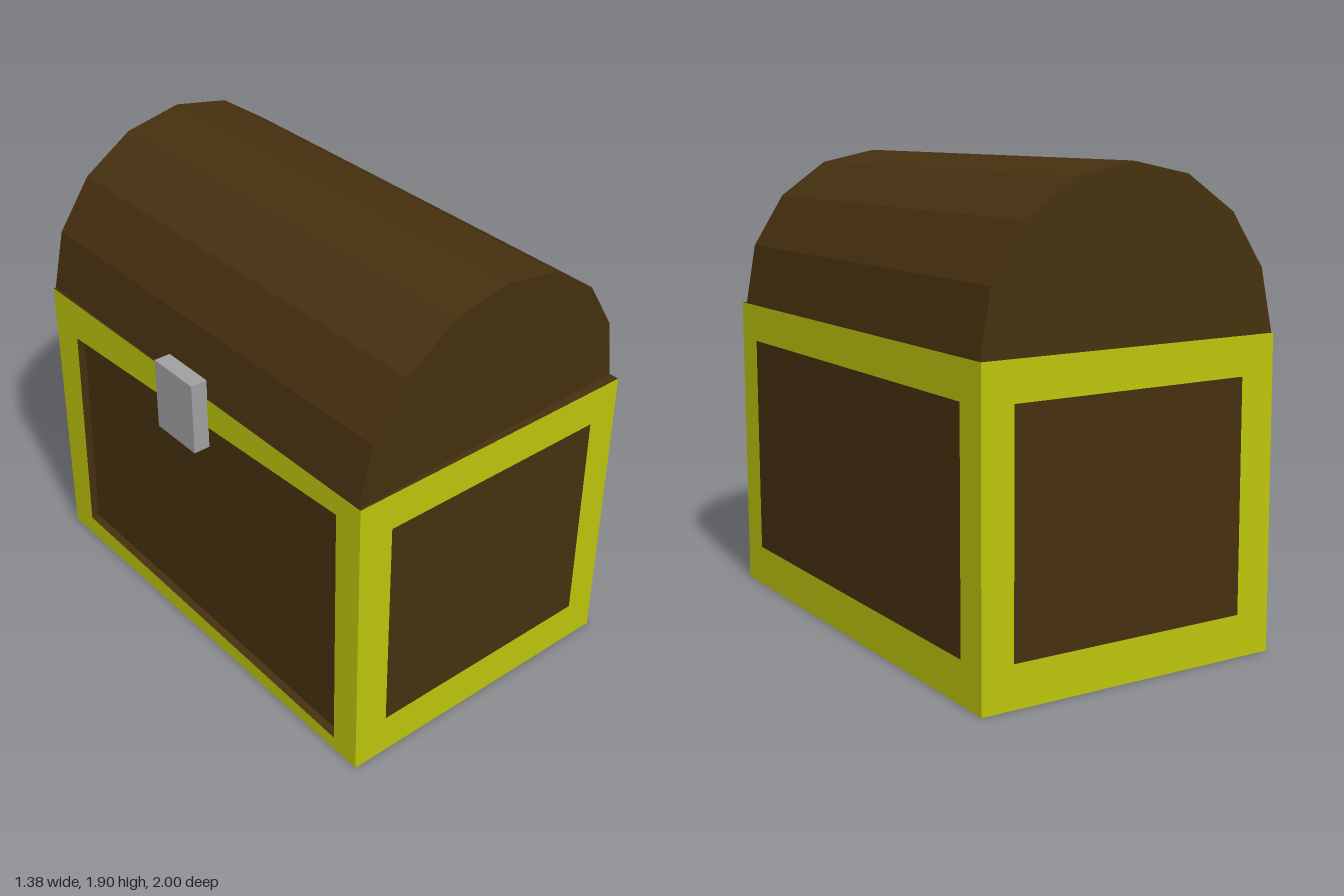
import * as THREE from 'three';

const V = (x, y, z) => new THREE.Vector3(x, y, z);
const brown = new THREE.MeshStandardMaterial({ color: 0x46300f, flatShading: true });
const yellow = new THREE.MeshStandardMaterial({ color: 0xbcc40c, flatShading: true });
const grey = new THREE.MeshStandardMaterial({ color: 0xa0a0a0, flatShading: true });

// Mesh made of four-cornered faces, corners counter-clockwise from outside
function quadMesh(name, quads, material) {
  const pts = quads.flatMap(([a, b, c, d]) => [a, b, c, a, c, d]);
  const geo = new THREE.BufferGeometry().setFromPoints(pts);
  geo.computeVertexNormals();
  const mesh = new THREE.Mesh(geo, material);
  mesh.name = name;
  return mesh;
}

// Point at (u, v) inside a four-cornered face
function inside([a, b, c, d], [u, v]) {
  return a.clone().lerp(b, u).lerp(d.clone().lerp(c, u), v);
}

// One side of the chest: yellow border around a brown panel, optionally recessed
function side(name, outer, uvs, depth = 0) {
  const group = new THREE.Group();
  group.name = name;
  const rim = uvs.map((uv) => inside(outer, uv));
  const ring = (p, q) => [0, 1, 2, 3].map((i) => [p[i], p[(i + 1) % 4], q[(i + 1) % 4], q[i]]);
  const normal = outer[1].clone().sub(outer[0]).cross(outer[3].clone().sub(outer[0])).normalize();
  const floor = rim.map((p) => p.clone().addScaledVector(normal, -depth));
  group.add(quadMesh(name + 'Border', ring(outer, rim), yellow));
  group.add(quadMesh(name + 'Panel', depth ? [floor, ...ring(rim, floor)] : [floor], brown));
  return group;
}

const rect = (u0, u1, v0, v1) => [[u0, v0], [u1, v0], [u1, v1], [u0, v1]];

export function createModel() {
  const model = new THREE.Group();
  model.name = 'chest';

  // Body corners, with one top corner leaning in slightly
  const H = 1.25;
  const bottom = [V(-0.62, 0, 1), V(0.685, 0, 1), V(0.685, 0, -1), V(-0.62, 0, -1)];
  const top = [V(-0.62, H, 1), V(0.685, H, 1), V(0.685, H, -1), V(-0.63, H, -0.975)];
  const panels = [
    ['frontSide', rect(0.115, 0.897, 0.136, 0.876), 0],
    ['plainLongSide', rect(0.07, 0.93, 0.136, 0.876), 0],
    ['backSide', rect(0.103, 0.885, 0.136, 0.876), 0],
    ['latchSide', [[0.07, 0.072], [0.935, 0.048], [0.935, 0.924], [0.08, 0.86]], 0.035],
  ];
  panels.forEach(([name, uvs, depth], i) => {
    const j = (i + 1) % 4;
    model.add(side(name, [bottom[i], bottom[j], top[j], top[i]], uvs, depth));
  });
  model.add(quadMesh('bodyBase', [[...bottom].reverse()], brown));
  model.add(quadMesh('bodyTop', [top], brown));

  // Faceted barrel lid: half of a sixteen-sided outline
  const outline = [];
  for (let i = 0; i <= 8; i++) {
    const a = (i * Math.PI) / 8;
    outline.push(new THREE.Vector2(0.0325 + 0.6525 * Math.cos(a), H + 0.655 * Math.sin(a)));
  }
  const lidGeo = new THREE.ExtrudeGeometry(new THREE.Shape(outline), { depth: 1, bevelEnabled: false });
  // Both ends lean a little, as if the lid were set on askew
  const p = lidGeo.attributes.position;
  for (let i = 0; i < p.count; i++) {
    const rise = p.getY(i) - H;
    const across = p.getX(i) - 0.0325;
    const back = -0.985 - 0.015 * across + 0.037 * rise;
    const front = 0.973 - 0.027 * across + 0.037 * rise;
    p.setZ(i, THREE.MathUtils.lerp(back, front, p.getZ(i)));
  }
  lidGeo.computeVertexNormals();
  const lid = new THREE.Mesh(lidGeo, brown);
  lid.name = 'lid';
  model.add(lid);

  // Latch plate
  const latch = new THREE.Mesh(new THREE.BoxGeometry(0.07, 0.305, 0.24), grey);
  latch.name = 'latch';
  latch.position.set(-0.657, 1.182, -0.005);
  model.add(latch);

  return model;
}
